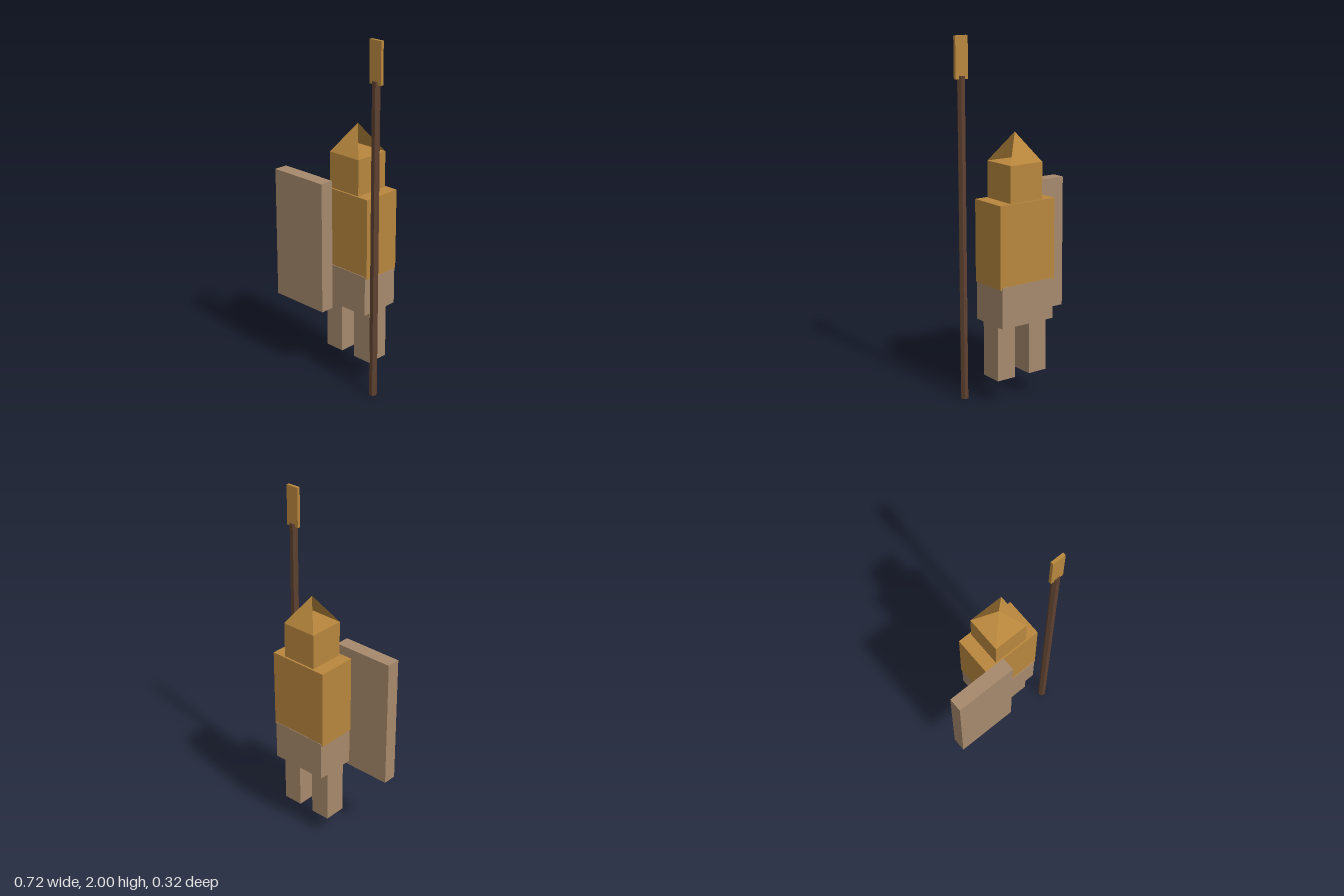
import * as THREE from 'three';

export function createModel() {
  const model = new THREE.Group();
  model.name = 'guard';

  const mat = (name, color, extra = {}) =>
    Object.assign(new THREE.MeshStandardMaterial({ color, flatShading: true, ...extra }), { name });
  const gold = mat('gold', 0xb8873d);
  const goldSheet = gold; // the open roof shares the gold colour
  gold.side = THREE.DoubleSide;
  const tan = mat('tan', 0xa6896c);
  const wood = mat('dark wood', 0x5e4130);

  const add = (name, geometry, material) => {
    const mesh = new THREE.Mesh(geometry, material);
    mesh.name = name;
    model.add(mesh);
    return mesh;
  };

  // Box given by its extents on each axis
  const box = (name, [x0, x1], [y0, y1], [z0, z1], material) =>
    add(name, new THREE.BoxGeometry(x1 - x0, y1 - y0, z1 - z0), material)
      .position.set((x0 + x1) / 2, (y0 + y1) / 2, (z0 + z1) / 2);

  // Body
  box('torso', [-0.11, 0.25], [0.667, 1.127], [-0.16, 0.071], gold);
  box('hips', [-0.1, 0.241], [0.45, 0.68], [-0.163, 0.075], tan);
  box('head', [-0.035, 0.175], [1.12, 1.33], [-0.149, 0.061], gold);
  box('rightLeg', [-0.096, 0.021], [0.136, 0.46], [-0.107, 0.025], tan);
  box('leftLeg', [0.115, 0.232], [0.136, 0.46], [-0.107, 0.025], tan);

  // Pointed helmet top: sloping front and back sheets, open at the sides
  const roof = new THREE.BufferGeometry();
  const r = 0.105, h = 0.16;
  roof.setAttribute('position', new THREE.Float32BufferAttribute([
    -r, 0, r, r, 0, r, 0, h, 0,
    r, 0, -r, -r, 0, -r, 0, h, 0,
  ], 3));
  roof.computeVertexNormals();
  add('helmetPoint', roof, goldSheet).position.set(0.07, 1.33, -0.044);

  // Shield on the right side
  box('shield', [-0.362, 0], [0.418, 1.176], [0.081, 0.161], tan);

  // Spear on the left side
  const shaft = new THREE.CylinderGeometry(0.0225, 0.0225, 1.79, 6);
  shaft.rotateY(Math.PI / 6);
  add('spearShaft', shaft, wood).position.set(0.321, 0.895, 0.088);
  box('spearBlade', [0.282, 0.36], [1.773, 2], [0.079, 0.097], gold);

  return model;
}
